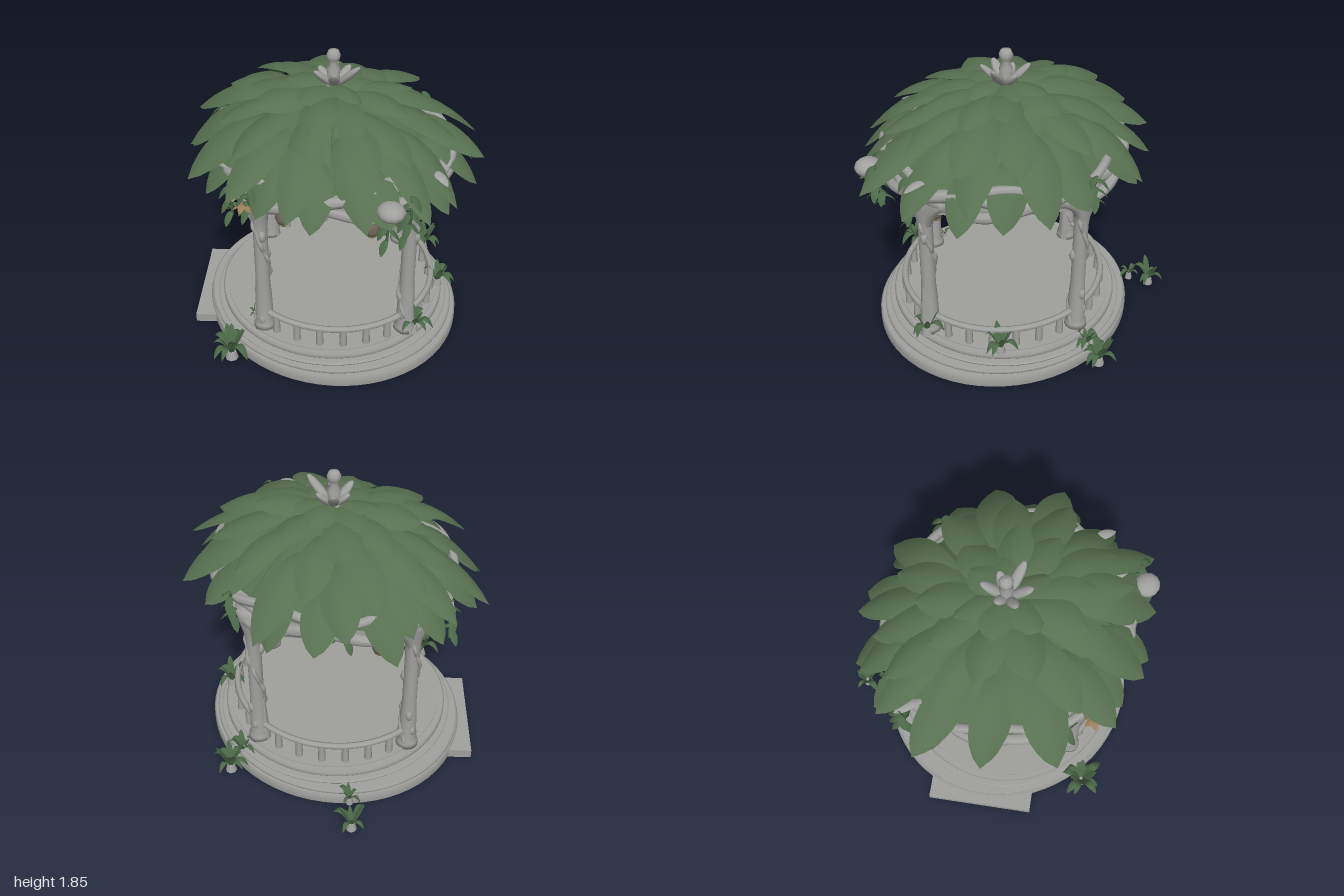
import * as THREE from 'three';

const paint = (name, color, double) => {
  const m = new THREE.MeshStandardMaterial({ color, side: double ? THREE.DoubleSide : THREE.FrontSide });
  m.name = name;
  return m;
};

export function createModel() {
  const stone = paint('stone', 0xa0a09e, true);
  const floorStone = paint('floor stone', 0x9fa19b);
  const roofGreen = paint('roof leaf green', 0x577050, true);
  const plantGreen = paint('plant green', 0x4b6847, true);
  const brass = paint('brass', 0xac976a);
  const glass = paint('smoky glass', 0x766c60);
  const blossom = paint('blossom tan', 0x9a7c58, true);

  const model = new THREE.Group();
  model.name = 'gardenPavilion';
  const V = (x, y, z) => new THREE.Vector3(x, y, z);
  const add = (name, geo, mat, x = 0, y = 0, z = 0, parent = model) => {
    const m = new THREE.Mesh(geo, mat);
    m.name = name;
    m.position.set(x, y, z);
    parent.add(m);
    return m;
  };
  const group = (name, x = 0, y = 0, z = 0, parent = model) => {
    const g = new THREE.Group();
    g.name = name;
    g.position.set(x, y, z);
    parent.add(g);
    return g;
  };
  const lathe = (pts, n = 16) => new THREE.LatheGeometry(pts.map(p => new THREE.Vector2(...p)), n);
  const tube = (pts, r, n = 16, closed = false) =>
    new THREE.TubeGeometry(new THREE.CatmullRomCurve3(pts, closed), n, r, 7, closed);
  let seed = 7;
  const rand = () => (seed = (seed * 16807) % 2147483647) / 2147483647;
  const vary = (v, f = 0.15) => v * (1 + f * (2 * rand() - 1));

  // Leaf growing along +x, height a*s + b*s*s, its edges folded down, widest beyond the middle
  const leaf = (len, width, a, b, fold = 0.3) => {
    const g = new THREE.PlaneGeometry(1, 1, 10, 4), p = g.attributes.position;
    for (let i = 0; i < p.count; i++) {
      const s = p.getX(i) + 0.5, t = p.getY(i) * 2;
      const half = width / 2 * Math.pow(Math.max(0, Math.sin(Math.PI * (0.12 + 0.88 * Math.pow(s, 1.35)))), 0.75);
      p.setXYZ(i, len * s, a * s + b * s * s - fold * t * t * half, -t * half);
    }
    g.computeVertexNormals();
    return g;
  };

  // Oval stepped base: centre x, x radius, z radius, bottom, top
  [[0.025, 0.85, 0.79, 0.005, 0.08], [0.01, 0.825, 0.775, 0.08, 0.115], [0.025, 0.765, 0.755, 0.115, 0.14],
    [0.025, 0.73, 0.72, 0.14, 0.185]].forEach(([x, rx, rz, y0, y1], i) => {
    const b = 0.01;
    add('baseTier' + (i + 1), lathe([[0, y0], [0.99, y0], [1, y0 + b], [1, y1 - b], [0.985, y1], [0, y1]], 64), stone, x).scale.set(rx, 1, rz);
  });
  add('floor', new THREE.CylinderGeometry(0.69, 0.69, 0.008, 64), floorStone, 0.03, 0.187, 0);

  // Entrance step in the open quarter
  add('entranceStep', new THREE.BoxGeometry(0.69, 0.06, 0.3), stone, -0.54, 0.036, 0.47).rotation.y = -Math.PI / 4;

  // Columns, each with roots, a climbing stem and branching braces
  const cx = 0.035, rx = 0.655, rz = 0.625;
  const ring = (a, r, y) => V(cx + Math.cos(a) * rx * r, y, Math.sin(a) * rz * r);
  const columns = [[0.69, 0], [0.08, 0.62], [-0.625, 0], [0.05, -0.63]];
  columns.forEach(([x, z], i) => {
    const col = group('column', x, 0, z);
    add('columnShaft', lathe([[0, 0.185], [0.07, 0.185], [0.066, 0.22], [0.055, 0.25], [0.05, 0.45], [0.044, 0.55],
      [0.043, 0.95], [0.052, 1.03], [0.075, 1.12], [0.09, 1.22], [0, 1.24]]), stone, 0, 0, 0, col);
    const stem = [];
    for (let k = 0; k <= 20; k++) {
      const t = k / 20, a = i * 2 + t * 7;
      const r = 0.048 - 0.007 * t + 0.007 * Math.sin(k * 2.3);
      stem.push(V(Math.cos(a) * r, 0.2 + t * 0.9, Math.sin(a) * r));
    }
    add('climbingStem', tube(stem, 0.013, 60), stone, 0, 0, 0, col);
    for (let k = 0; k < 5; k++) {
      const a = i + k * 1.9, y = [0.26, 0.45, 0.73, 0.9, 0.32][k];
      add('barkKnot', new THREE.SphereGeometry(0.023, 8, 6), stone, Math.cos(a) * 0.04, y, Math.sin(a) * 0.04, col).scale.y = 1.7;
    }
    add('brokenRoot', new THREE.CylinderGeometry(0.016, 0.04, 0.33, 7), stone, 0.035 * Math.cos(i * 3), 0.35, 0.035 * Math.sin(i * 3), col);
    const a0 = i * Math.PI / 2;
    for (const s of [-1, 1]) {
      add('brace', tube([V(x, 0.94, z), ring(a0 + s * 0.09, 1.02, 1.06), ring(a0 + s * 0.24, 1.05, 1.17),
        ring(a0 + s * 0.45, 1.06, 1.24)], 0.028), stone);
    }
  });

  // Arched band between the columns, with an inner and an outer face
  for (const r of [0.95, 1.06]) {
    const g = new THREE.CylinderGeometry(1, 1, 1, 96, 1, true), p = g.attributes.position;
    for (let i = 0; i < p.count; i++) {
      const a = Math.atan2(p.getZ(i), p.getX(i)), arch = Math.sqrt(Math.abs(Math.sin(2 * a)));
      const v = ring(a, r, p.getY(i) > 0 ? 1.28 : 1.03 + 0.14 * arch);
      p.setXYZ(i, v.x, v.y, v.z);
    }
    g.computeVertexNormals();
    add('archBand', g, stone);
  }
  // Twisted branches forming the ring beam
  [[0, 1.19, 0.034], [2.1, 1.25, 0.038], [4.2, 1.3, 0.028]].forEach(([phase, y, r]) => {
    const pts = [];
    for (let k = 0; k < 40; k++) {
      const a = k / 40 * Math.PI * 2;
      pts.push(ring(a, 1.08 + 0.04 * Math.sin(6 * a + phase), y + 0.03 * Math.cos(6 * a + phase) - 0.015 * Math.cos(4 * a)));
    }
    add('ringBranch', tube(pts, r, 120, true), stone);
  });
  add('burl', new THREE.SphereGeometry(0.07, 12, 9), stone, 0.82, 1.29, 0.31).scale.set(1.15, 0.75, 1.1);
  add('burlBranch', tube([V(0.6, 1.22, 0.25), V(0.72, 1.25, 0.28), V(0.83, 1.3, 0.31)], 0.045), stone);
  // Stone offshoots showing through the leaves
  [[0.66, 1.38, 0.2, 0.2], [-0.66, 1.34, 0.12, 2.9], [0.1, 1.3, 0.64, 4.9], [0.72, 1.33, -0.1, -0.2]].forEach(([x, y, z, turn]) => {
    add('stoneOffshoot', leaf(0.17, 0.06, 0.09, -0.11), stone, x, y, z).rotation.y = turn;
  });

  // Curved railings on three quarters, the front-right quarter left open
  [[0, 1], [2, 3], [3, 4]].forEach(([q0, q1]) => {
    const rail = group('railing'), pts = [];
    for (let k = 0; k <= 12; k++) pts.push(ring((q0 + (q1 - q0) * k / 12) * Math.PI / 2, 1, 0.312));
    add('handRail', tube(pts, 0.02, 30), stone, 0, 0, 0, rail);
    for (let k = 1; k < 7; k++) {
      const v = ring((q0 + k / 7) * Math.PI / 2, 1, 0.245);
      add('baluster', new THREE.CylinderGeometry(0.02, 0.024, 0.12, 8), stone, v.x, v.y, v.z, rail);
    }
  });

  // Roof shell with ribs on its underside
  const roof = group('roof', 0.02, 0, 0);
  roof.scale.x = 1.12;
  const profile = [[0.0, 1.62], [0.15, 1.59], [0.35, 1.51], [0.52, 1.4], [0.66, 1.27]];
  add('roofShell', lathe(profile, 40), roofGreen, 0, 0, 0, roof);
  for (let k = 0; k < 8; k++) {
    add('roofRib', tube(profile.map(([r, y]) => V(r, y - 0.008, 0)), 0.01, 12), roofGreen, 0, 0, 0, roof).rotation.y = k * Math.PI / 4;
  }
  // Overlapping tiers: count, start radius, start height, length, width, slope, droop
  [[14, 0.5, 1.41, 0.31, 0.2, 0.02, -0.26], [15, 0.36, 1.5, 0.49, 0.21, 0.06, -0.32],
    [12, 0.22, 1.57, 0.46, 0.21, 0.08, -0.22], [9, 0.1, 1.61, 0.35, 0.2, 0.1, -0.13],
    [6, 0.02, 1.63, 0.24, 0.18, 0.06, -0.08]].forEach(([n, r, y, len, w, a, b], tier) => {
    for (let k = 0; k < n; k++) {
      const g = group('roofLeaf', 0, vary(y, 0.008), 0, roof);
      g.rotation.y = (k + tier * 0.45 + 0.4 * (rand() - 0.5)) / n * Math.PI * 2;
      const m = add('leafBlade', leaf(vary(len, 0.09), vary(w, 0.12), a, vary(b, 0.2)), roofGreen, r, 0, 0, g);
      m.rotation.x = 0.4 * (rand() - 0.5);
    }
  });

  // Finial with a collar of stone petals
  add('finial', lathe([[0, 1.58], [0.06, 1.58], [0.05, 1.64], [0.035, 1.68], [0.04, 1.73], [0.022, 1.765], [0.038, 1.79],
    [0.042, 1.815], [0.03, 1.842], [0, 1.85]], 10), stone, 0.025, 0, -0.01);
  [1.3, 0.85, 1.1, 0.8, 1, 1.1].forEach((long, k) => {
    const g = group('petal', 0.03, 1.63, -0.01);
    g.rotation.y = 0.3 + k * Math.PI / 3;
    const m = add('petalBlade', new THREE.SphereGeometry(1, 8, 8), stone, 0.07 * long, 0.055 * long, 0, g);
    m.scale.set(0.022, 0.085 * long, 0.033);
    m.rotation.z = -0.8;
  });

  // Hanging lanterns
  [[0.5, 0.12], [0.06, 0.43], [-0.45, -0.09]].forEach(([x, z]) => {
    const l = group('lantern', x, 0, z);
    add('hanger', new THREE.CylinderGeometry(0.004, 0.014, 0.12, 6), plantGreen, 0, 1.095, 0, l);
    add('hangerCord', new THREE.CylinderGeometry(0.004, 0.004, 0.35, 5), plantGreen, 0, 1.33, 0, l);
    add('lanternCap', lathe([[0, 0.985], [0.05, 0.985], [0.067, 0.998], [0.064, 1.008], [0.04, 1.02], [0.028, 1.042], [0, 1.047]], 12), brass, 0, 0, 0, l);
    add('lanternGlass', lathe([[0, 0.866], [0.033, 0.868], [0.046, 0.9], [0.052, 0.986], [0, 0.986]], 10), glass, 0, 0, 0, l);
    add('lanternFoot', lathe([[0, 0.838], [0.012, 0.845], [0.035, 0.866], [0.035, 0.874], [0, 0.875]], 10), brass, 0, 0, 0, l);
  });

  // Tufted plants of arching outer and upright inner leaves: position, size, leaf count
  const plant = (x, y, z, size, n) => {
    const p = group('plant', x, y, z);
    for (let k = 0; k < n; k++) {
      const g = group('plantLeaf', 0, 0, 0, p), s = vary(size, 0.2);
      g.rotation.y = k * 2.4;
      const blade = k % 2 ? leaf(s * 0.6, s * 0.32, s * 1.9, -s * 0.6) : leaf(s, s * 0.32, s * 3, -s * 2.6);
      add('plantBlade', blade, plantGreen, 0, 0, 0, g);
    }
    add('plantBase', new THREE.CylinderGeometry(size * 0.2, size * 0.3, 0.05, 8), stone, 0, 0.005, 0, p);
  };
  [[0.02, 0.03, 0.85, 0.14, 15], [0.08, 0.03, -0.85, 0.12, 13], [0.08, 0.1, -0.75, 0.09, 9], [-0.77, 0.03, -0.62, 0.11, 9],
    [-0.66, 0.09, -0.53, 0.08, 7], [0.74, 0.2, -0.02, 0.12, 9], [0.55, 0.2, -0.46, 0.11, 9], [-0.02, 0.19, 0.62, 0.05, 5]]
    .forEach(p => plant(...p));

  // Leafy vines hanging from the ring beam: top position and length
  [[-0.07, 1.25, 0.7, 0.26], [0.73, 1.28, 0.08, 0.34], [0.76, 1.32, 0.27, 0.3], [0.86, 1.36, 0.2, 0.2], [-0.8, 1.34, 0.1, 0.26],
    [-0.5, 1.34, -0.42, 0.2], [0.08, 1.34, -0.74, 0.2], [0.15, 1.3, 0.74, 0.14]].forEach(([x, y, z, len]) => {
    const v = group('hangingVine', x, y, z);
    add('vineStem', tube([V(0, 0, 0), V(0.015, -len / 2, 0.01), V(0, -len, 0)], 0.008, 8), plantGreen, 0, 0, 0, v);
    for (let k = 0; k < 9; k++) {
      const g = group('vineLeaf', 0, -len * k / 9, 0, v);
      g.rotation.y = k * 2.2;
      add('vineBlade', leaf(0.075, 0.045, 0.02, -0.09), plantGreen, 0, 0, 0, g);
    }
  });

  // Blossoms by the front column
  [[0.07, 1.25, 0.76], [0.14, 1.21, 0.77]].forEach(([x, y, z]) => {
    const f = group('blossom', x, y, z);
    for (let k = 0; k < 6; k++) {
      add('blossomPetal', leaf(0.06, 0.035, 0.02, -0.05), blossom, 0, 0, 0, f).rotation.y = k * Math.PI / 3;
    }
  });

  return model;
}
